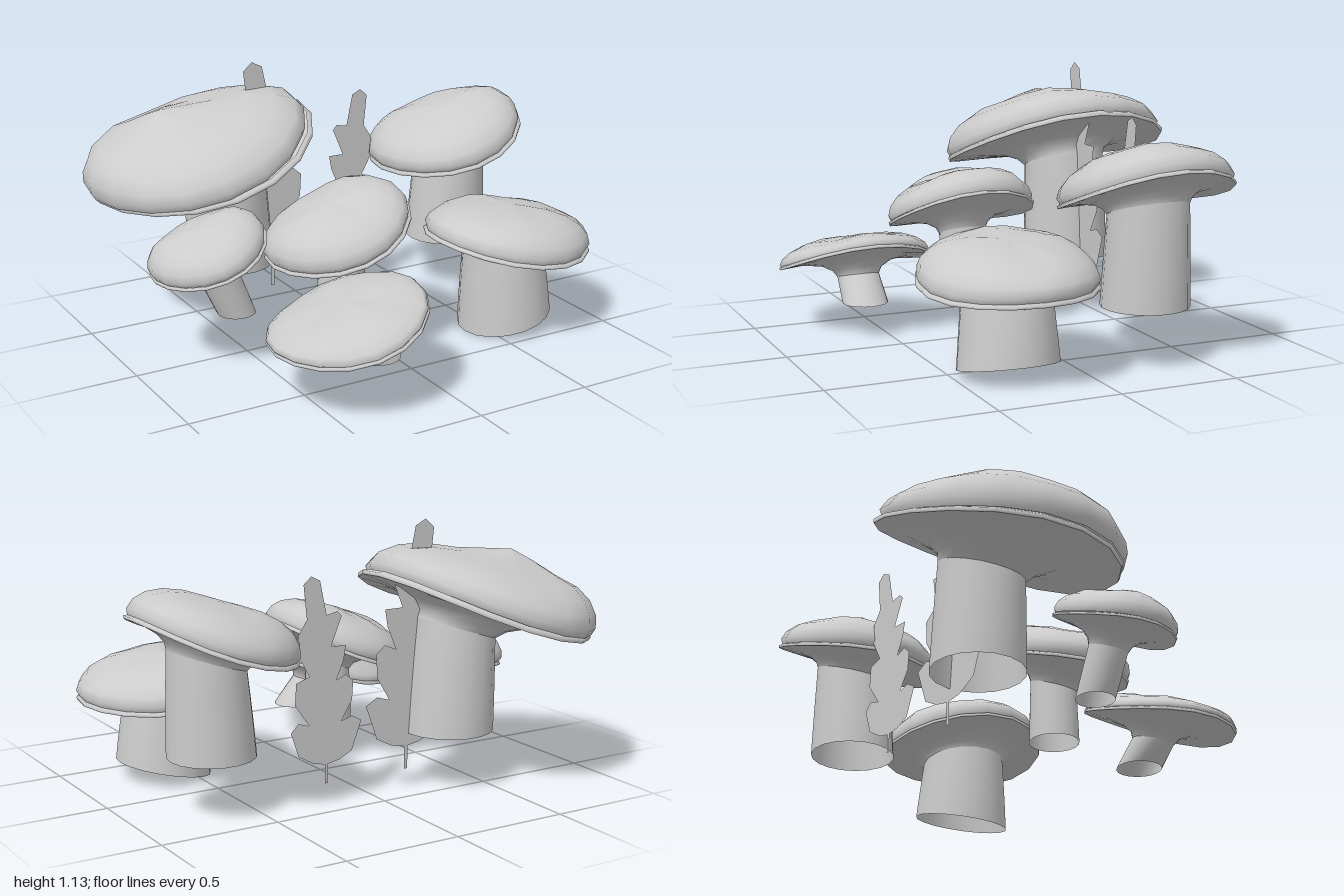
import * as THREE from 'three';

const SIDES = 18;
const Z_AXIS = new THREE.Vector3(0, 0, 1);
const material = new THREE.MeshStandardMaterial({ color: 0xcccccc, side: THREE.DoubleSide });

// One ring: centre, radius, tilt about z, then lift, sag, waviness and sideways shift in the tilted frame
function ring(c, r, tilt, { lift = 0, sag = 0, wave = 0, phase = 0, shift = 0 } = {}) {
  const points = [];
  for (let i = 0; i < SIDES; i++) {
    const a = (i / SIDES) * Math.PI * 2;
    const lump = wave * (Math.sin(2 * a + phase) + 0.6 * Math.sin(5 * a + 2 * phase));
    const y = lift + lump - sag * Math.sin(a) ** 2;
    points.push(new THREE.Vector3(r * Math.cos(a) - shift, y, r * Math.sin(a)).applyAxisAngle(Z_AXIS, tilt).add(c));
  }
  return points;
}

// Skin a stack of rings, listed from bottom to top, with smooth normals
function loft(rings, name) {
  const index = [];
  for (let j = 0; j < rings.length - 1; j++) {
    for (let i = 0; i < SIDES; i++) {
      const n = (i + 1) % SIDES;
      const a = j * SIDES + i, b = j * SIDES + n;
      index.push(a, a + SIDES, b, b, a + SIDES, b + SIDES);
    }
  }
  const geometry = new THREE.BufferGeometry().setFromPoints(rings.flat());
  geometry.setIndex(index);
  geometry.computeVertexNormals();
  const mesh = new THREE.Mesh(geometry, material);
  mesh.name = name;
  return mesh;
}

// Spec: cap centre, rim radius, dome height, tilt, stem ends; bump and lean shape an off-centre crown
function mushroom(name, spec, phase) {
  const { cap, r, h, tilt, top, base, rTop, rBase, baseTilt = 0, droop = 0.12, bump = 0, lean = 0 } = spec;
  const group = new THREE.Group();
  group.name = name;
  const t = THREE.MathUtils.degToRad(tilt), bt = THREE.MathUtils.degToRad(baseTilt);
  const c = new THREE.Vector3(...cap);
  const stemTop = new THREE.Vector3(top[0], top[1], cap[2]);
  const stemBase = new THREE.Vector3(base[0], base[1], cap[2]);
  const sag = r * droop;

  // Open stem, slightly tapered
  const stem = [0, 0.35, 0.7, 1].map(k => ring(stemBase.clone().lerp(stemTop, k),
    THREE.MathUtils.lerp(rBase, rTop, k), THREE.MathUtils.lerp(bt, t, k)));
  group.add(loft(stem, 'stem'));

  // Underside flares out of the stem to the rim
  const under = [[0, 0], [0.3, 0.07], [0.6, 0.26], [0.85, 0.6], [1, 1]].map(([up, out]) =>
    ring(stemTop.clone().lerp(c, up), THREE.MathUtils.lerp(rTop, r, out), t, { sag: sag * out * out }));
  group.add(loft(under, 'capUnderside'));

  // Thin rim lip
  const lip = [[1, 0], [1.01, 0.03], [0.97, 0.05]];
  group.add(loft(lip.map(([k, y]) => ring(c, r * k, t, { lift: r * y, sag })), 'capRim'));

  // Lumpy dome: radius, height and waviness as fractions
  const dome = [[0.97, 0.1, 0], [1, 0.27, 0], [0.96, 0.5, 0.01], [0.85, 0.72, 0.018],
    [0.68, 0.88, 0.022], [0.45, 0.97, 0.02], [0.2, 1, 0.008], [0.001, 1.01, 0]];
  group.add(loft(dome.map(([k, y, w]) => ring(c, r * k, t, {
    lift: r * (h * y + bump * Math.max(0, 1 - k / 0.45)),
    sag: sag * k * k, wave: r * w, phase, shift: r * lean * (1.2 - k * k),
  })), 'capDome'));
  return group;
}

// Flat lobed leaf standing on a short stalk
function leaf(name, x, sx, sy) {
  const outline = [[-0.007, 0], [-0.007, 0.08], [-0.06, 0.09], [-0.12, 0.12], [-0.165, 0.24], [-0.12, 0.265],
    [-0.07, 0.25], [-0.12, 0.33], [-0.125, 0.41], [-0.09, 0.44], [-0.045, 0.42], [-0.08, 0.5], [-0.09, 0.56],
    [-0.02, 0.56], [-0.07, 0.68], [-0.05, 0.7], [0, 0.69], [0.03, 0.83], [0.07, 0.85], [0.105, 0.82],
    [0.09, 0.68], [0.13, 0.62], [0.13, 0.54], [0.08, 0.45], [0.14, 0.43], [0.145, 0.34], [0.08, 0.25],
    [0.13, 0.265], [0.165, 0.23], [0.13, 0.13], [0.06, 0.09], [0.007, 0.08], [0.007, 0]];
  const shape = new THREE.Shape(outline.map(([px, py]) => new THREE.Vector2(px * sx, py * sy)));
  const mesh = new THREE.Mesh(new THREE.ShapeGeometry(shape), material);
  mesh.position.set(x, 0.09, -0.415);
  mesh.name = name;
  return mesh;
}

export function createModel() {
  const model = new THREE.Group();
  model.name = 'mushroomCluster';
  const mushrooms = {
    largeMushroom: { cap: [-0.485, 0.76, -0.43], r: 0.495, h: 0.4, tilt: 18, top: [-0.38, 0.67], base: [-0.36, 0.24], rTop: 0.18, rBase: 0.19, bump: 0.12, lean: 0.2 },
    smallMushroom: { cap: [-0.67, 0.47, 0.01], r: 0.25, h: 0.5, tilt: 20, top: [-0.63, 0.38], base: [-0.55, 0.19], rTop: 0.08, rBase: 0.08 },
    middleMushroom: { cap: [-0.16, 0.525, 0.17], r: 0.315, h: 0.46, tilt: 20.5, top: [-0.14, 0.43], base: [-0.14, 0.175], rTop: 0.1, rBase: 0.105 },
    lowMushroom: { cap: [-0.355, 0.322, 0.587], r: 0.325, h: 0.25, tilt: 15.5, top: [-0.31, 0.24], base: [-0.22, 0.14], rTop: 0.09, rBase: 0.097 },
    frontMushroom: { cap: [0.61, 0.395, 0.29], r: 0.357, h: 0.42, tilt: -7, top: [0.6, 0.325], base: [0.61, 0.043], rTop: 0.18, rBase: 0.205, baseTilt: 12, droop: 0.09 },
    backMushroom: { cap: [0.66, 0.705, -0.277], r: 0.352, h: 0.44, tilt: 18, top: [0.685, 0.63], base: [0.67, 0.24], rTop: 0.165, rBase: 0.18 },
  };
  Object.entries(mushrooms).forEach(([name, spec], i) => model.add(mushroom(name, spec, i * 1.3)));
  model.add(leaf('leafBetween', 0.225, 1, 1), leaf('leafBehind', -0.16, -1.2, 1.22));
  return model;
}
